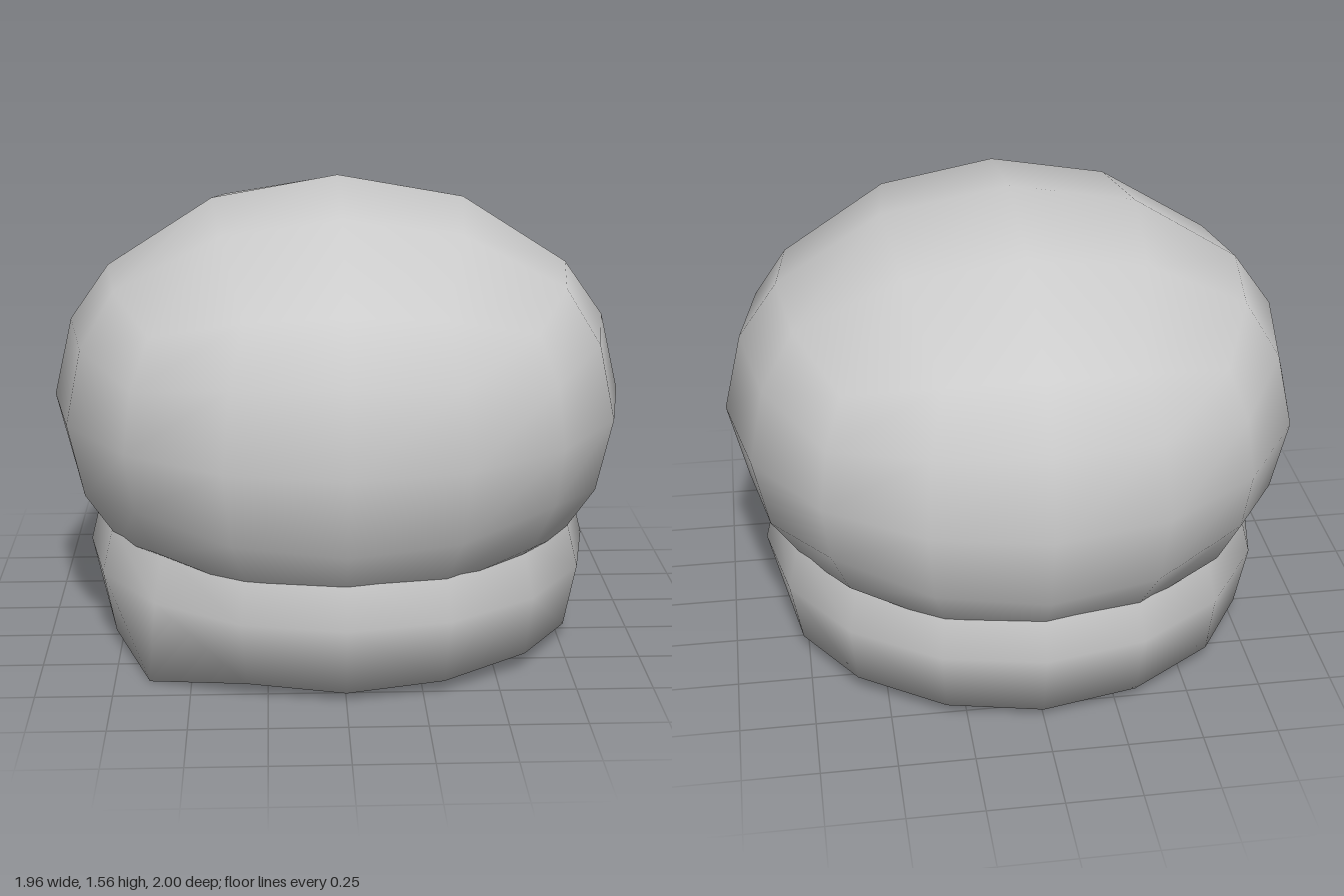
import * as THREE from 'three';
import { mergeVertices } from 'three/addons/utils/BufferGeometryUtils.js';

const material = new THREE.MeshStandardMaterial({ color: 0xcccccc });

// Low-poly dome: a 4x4x4 box swollen onto an ellipsoid, smooth normals
function capGeometry() {
  const box = new THREE.BoxGeometry(2, 2, 2, 4, 4, 4);
  box.deleteAttribute('normal');
  box.deleteAttribute('uv');
  const geo = mergeVertices(box);
  const pos = geo.attributes.position;
  const v = new THREE.Vector3();
  const place = (c, half, edge) => Math.sign(c) * (Math.abs(c) > 0.9 ? edge : Math.abs(c) > 0.1 ? half : 0);
  for (let i = 0; i < pos.count; i++) {
    v.fromBufferAttribute(pos, i);
    const insideTop = Math.abs(v.x) < 0.9 && Math.abs(v.z) < 0.9;
    const half = insideTop ? 0.363 : 0.42;
    v.set(place(v.x, half, 1), place(v.y, 0.378, 0.75), place(v.z, half, 1)).normalize();
    pos.setXYZ(i, v.x * 0.98, 0.8 + v.y * 0.76, v.z);
  }
  geo.computeVertexNormals();
  return geo;
}

// Squat stem: 16-sided rings with a slightly uneven underside
function stemGeometry() {
  const N = 16;
  const rings = [[0.4, 0.035], [0.82, 0.03], [0.877, 0.265], [0.835, 0.43], [0.8, 0.52], [0.5, 0.6]];
  const points = [0, 0.003, 0];
  const index = [];
  rings.forEach(([r, y], k) => {
    for (let i = 0; i < N; i++) {
      const a = (i / N) * Math.PI * 2;
      let rr = r, yy = y;
      if (k === 1) {
        // rim lifts at the diagonals, and dips at the front right one
        const lift = Math.sin(2 * a) ** 2;
        const dip = i === 6;
        rr += dip ? 0.085 : 0.03 * lift;
        yy += dip ? -0.03 : 0.032 * lift;
      }
      points.push(Math.cos(a) * rr * 0.995, yy, Math.sin(a) * rr);
    }
  });
  const at = (k, i) => 1 + k * N + (i % N);
  for (let i = 0; i < N; i++) {
    index.push(0, at(0, i), at(0, i + 1));
    for (let k = 0; k < rings.length - 1; k++) {
      index.push(at(k, i), at(k + 1, i), at(k + 1, i + 1));
      index.push(at(k, i), at(k + 1, i + 1), at(k, i + 1));
    }
  }
  // close the top, tucked inside the cap
  const top = points.length / 3;
  points.push(0, 0.62, 0);
  for (let i = 0; i < N; i++) index.push(top, at(rings.length - 1, i + 1), at(rings.length - 1, i));
  const geo = new THREE.BufferGeometry();
  geo.setAttribute('position', new THREE.Float32BufferAttribute(points, 3));
  geo.setIndex(index);
  geo.computeVertexNormals();
  return geo;
}

export function createModel() {
  const group = new THREE.Group();
  for (const [name, geometry] of [['cap', capGeometry()], ['stem', stemGeometry()]]) {
    const mesh = new THREE.Mesh(geometry, material);
    mesh.name = name;
    group.add(mesh);
  }
  return group;
}
